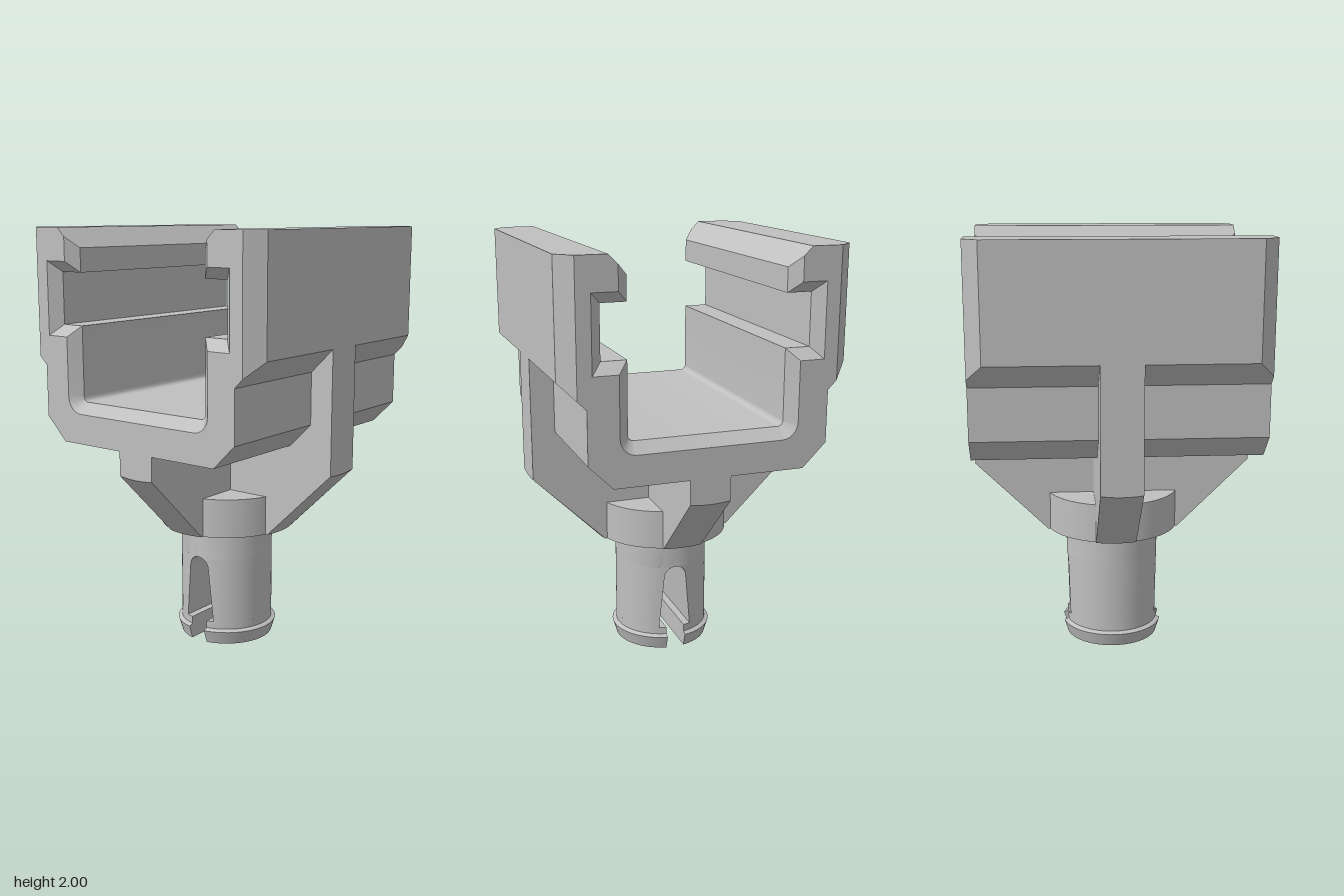
import * as THREE from 'three';
import { toCreasedNormals } from 'three/addons/utils/BufferGeometryUtils.js';

// Joins closed counter-clockwise rings [{ z, pts: [[x, y], ...] }] along z and caps both ends
function loft(rings) {
  const pos = [];
  const put = (r, i) => pos.push(r.pts[i][0], r.pts[i][1], r.z);
  const n = rings[0].pts.length;
  for (let k = 0; k < rings.length - 1; k++) {
    const a = rings[k], b = rings[k + 1];
    for (let i = 0; i < n; i++) {
      const j = (i + 1) % n;
      put(a, i); put(a, j); put(b, j);
      put(a, i); put(b, j); put(b, i);
    }
  }
  const cap = (r, flip) => {
    const outline = r.pts.map(([x, y]) => new THREE.Vector2(x, y));
    for (const [a, b, c] of THREE.ShapeUtils.triangulateShape(outline, [])) {
      put(r, a); put(r, flip ? c : b); put(r, flip ? b : c);
    }
  };
  cap(rings[0], true);
  cap(rings[rings.length - 1], false);
  const g = new THREE.BufferGeometry();
  g.setAttribute('position', new THREE.Float32BufferAttribute(pos, 3));
  return g;
}

// Cradle section: slotted U with flared ends and trimmed outer corners
function cradleRing(z) {
  const d = Math.max(0, Math.abs(z) - 0.61);
  const c = Math.max(0, Math.abs(z) - 0.59);
  const half = [
    [0.44, 1.02], [0.55, 1.13], [0.55, 1.37], [0.66 - c, 1.48 - c], [0.66 - c, 2], [0.45, 2],
    [0.36 + d, 1.91 + d], [0.36 + d, 1.8 + d], [0.475 + d, 1.8 + d],
    [0.475 + d, 1.56 - d], [0.36 + d, 1.56 - d],
  ];
  for (let i = 0; i <= 6; i++) {
    const t = (i / 6) * Math.PI / 2, r = 0.025 + d;
    half.push([0.335 + r * Math.cos(t), 1.235 - r * Math.sin(t)]);
  }
  return { z, pts: [...half, ...half.map(([x, y]) => [-x, y]).reverse()] };
}

// Peg half section: circle of radius r cut off at x = w
function pegRing(z, r, w) {
  const a = Math.acos(w / r), pts = [];
  for (let i = 0; i <= 28; i++) {
    const t = -a + (2 * a * i) / 28;
    pts.push([r * Math.cos(t), r * Math.sin(t)]);
  }
  return { z, pts };
}

// Fin across x whose lower edges lie on a cone
function finGeometry(topHalf) {
  const half = [[0.33, 0.57], [0.66, 0.9], ...topHalf];
  const pts = [...half, ...half.map(([x, y]) => [-x, y]).reverse()];
  const shape = new THREE.Shape(pts.map(([x, y]) => new THREE.Vector2(x, y)));
  const g = new THREE.ExtrudeGeometry(shape, { depth: 0.19, steps: 6, bevelEnabled: false });
  g.translate(0, 0, -0.095);
  const p = g.attributes.position;
  for (let i = 0; i < p.count; i++) {
    const x = p.getX(i), y = p.getY(i), z = p.getZ(i);
    if (y < 0.58) p.setX(i, Math.sign(x) * Math.sqrt(0.33 * 0.33 - z * z));
    else if (y < 0.95) p.setY(i, 0.24 + Math.hypot(x, z));
  }
  return g;
}

export function createModel() {
  const model = new THREE.Group();
  model.name = 'clipHolder';
  const grey = new THREE.MeshStandardMaterial({ color: 0xc0c0c0 });
  grey.name = 'light grey';
  const add = (name, geometry) => {
    const mesh = new THREE.Mesh(toCreasedNormals(geometry, 0.5), grey);
    mesh.name = name;
    model.add(mesh);
    return mesh;
  };

  // Slotted cradle
  add('cradle', loft([-0.66, -0.61, -0.59, 0.59, 0.61, 0.66].map(cradleRing)));

  // Crossed support fins; the side fin climbs the cradle walls
  add('sideFin', finGeometry([[0.66, 1.48], [0.5, 1.48], [0.5, 1.1]]));
  add('lengthFin', finGeometry([[0.66, 1.02]])).rotation.y = Math.PI / 2;

  // Collar at the foot of the fins
  const collar = new THREE.CylinderGeometry(0.32, 0.32, 0.185, 64);
  collar.translate(0, 0.6625, 0);
  add('collar', collar);

  // Split snap peg: two halves with a keyhole slot between them
  const rings = [
    pegRing(0, 0.225, 0.045), pegRing(0.065, 0.245, 0.045), pegRing(0.075, 0.225, 0.045),
    pegRing(0.11, 0.225, 0.045), pegRing(0.11, 0.225, 0.08),
  ];
  for (let i = 0; i <= 8; i++) {
    const t = (i / 8) * Math.PI / 2;
    rings.push(pegRing(0.375 + 0.055 * Math.sin(t), 0.225, 0.055 * Math.cos(t)));
  }
  rings.push(pegRing(0.58, 0.225, 0));
  for (const [name, turn] of [['leftPegHalf', 0], ['rightPegHalf', Math.PI]]) {
    add(name, loft(rings).rotateX(-Math.PI / 2).rotateY(turn));
  }
  return model;
}
